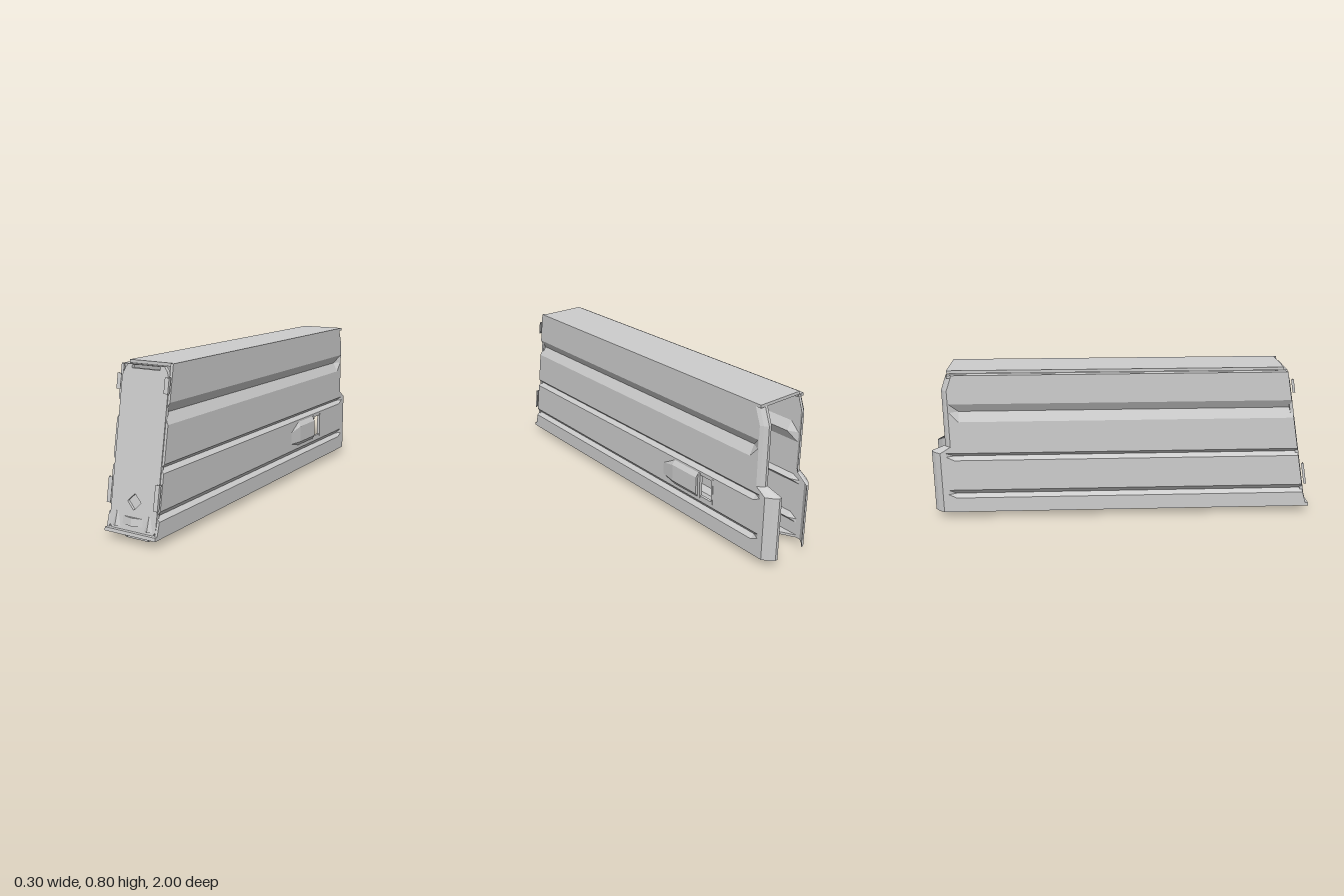
import * as THREE from 'three';

const C = -0.0075, HALF = 0.1425; // centre and half width of the shell
const grey = new THREE.MeshStandardMaterial({ color: 0xcccccc, flatShading: true, side: THREE.DoubleSide });
grey.name = 'light grey';

// Thick sheet from two point grids; skipped cells become holes with closed rims
function sheet(nu, nv, outer, inner, skip = () => false) {
  const pos = [];
  const has = (i, j) => i >= 0 && j >= 0 && i < nu && j < nv && !skip(i, j);
  const quad = (a, b, c, d) => pos.push(...a, ...b, ...c, ...a, ...c, ...d);
  for (let i = 0; i < nu; i++) for (let j = 0; j < nv; j++) {
    if (!has(i, j)) continue;
    const k = [[i, j], [i + 1, j], [i + 1, j + 1], [i, j + 1]];
    const o = k.map(p => outer(...p)), n = k.map(p => inner(...p));
    quad(...o);
    quad(n[3], n[2], n[1], n[0]);
    [[i, j - 1], [i + 1, j], [i, j + 1], [i - 1, j]].forEach((p, e) => {
      const f = (e + 1) % 4;
      if (!has(...p)) quad(o[f], o[e], n[e], n[f]);
    });
  }
  const g = new THREE.BufferGeometry();
  g.setAttribute('position', new THREE.Float32BufferAttribute(pos, 3));
  g.computeVertexNormals();
  return g;
}

const lerp = THREE.MathUtils.lerp;
const frontZ = y => 0.985 - 0.185 * y + (y < 0.05 ? 0.008 : 0);
const rearZ = y => y < 0.368 ? -1 : y < 0.705 ? -0.925 : lerp(-0.925, -0.89, (y - 0.7) / 0.097);

// Side wall: V grooves with pointed rear ends and a rear edge that bends inward
function sideWall(side) {
  const top = side > 0 ? 0.797 : 0.78;
  const ys = [0.035, 0.115, 0.135, 0.16, 0.19, 0.305, 0.325, 0.345, 0.365, 0.4, 0.535, 0.585, 0.63, 0.7, top];
  const depth = { 2: 0.02, 7: 0.02, 11: 0.026 };
  const point = (i, j, inset) => {
    const y = ys[j], r = rearZ(y), low = y < 0.368;
    const zs = [frontZ(y), -0.53, -0.61,
      ...(low ? [r + 0.12, r + 0.08, r + 0.05, r + 0.02, r] : [r + 0.08, r + 0.035, r + 0.03, r + 0.015, r])];
    const bend = i === 6 ? (low ? 0.022 : 0.01) : i === 7 ? (low ? 0.045 : 0.028) : 0;
    const groove = i < 4 ? depth[j] || 0 : 0;
    return [C + side * (HALF - bend - groove - inset), y, zs[i]];
  };
  return sheet(7, ys.length - 1, (i, j) => point(i, j, 0), (i, j) => point(i, j, 0.014),
    (i, j) => side > 0 && i === 1 && j === 4);
}

// Floor with a hollow raised keel; the keel stops short of the rear
function floor() {
  const xs = [-0.14, -0.07, -0.063, 0.063, 0.07, 0.14], ys = [0.035, 0.035, 0, 0, 0.035, 0.035];
  const point = (i, j, t) => {
    const keel = i === 2 || i === 3, edge = i === 0 || i === 5;
    const z = [keel ? 0.94 : 0.975, keel ? 0.93 : 0.96, -0.82, edge ? -0.95 : -0.82][j];
    return [C + xs[i] * (keel && t ? 0.88 : 1), ys[i] + t, z];
  };
  return sheet(5, 3, (i, j) => point(i, j, 0), (i, j) => point(i, j, 0.013));
}

function polygon(points, Type = THREE.Shape) {
  return new Type(points.map(p => new THREE.Vector2(...p)));
}

// Lean a geometry back so it follows the sloping front
function lean(g) {
  return g.applyMatrix4(new THREE.Matrix4().set(1, 0, 0, C, 0, 1, 0, 0, 0, -0.185, 1, 0.99, 0, 0, 0, 1));
}

function plate(depth, z, withDiamond) {
  const s = polygon([[-0.115, 0.05], [0.115, 0.05], [0.13, 0.07], [0.13, 0.73], [0.115, 0.765],
    [0.1, 0.782], [-0.1, 0.782], [-0.115, 0.765], [-0.13, 0.73], [-0.13, 0.07]]);
  s.holes.push(polygon([[-0.078, 0.764], [-0.078, 0.779], [0.078, 0.779], [0.078, 0.764]], THREE.Path));
  if (withDiamond) s.holes.push(polygon([[0, 0.145], [-0.038, 0.182], [0, 0.219], [0.038, 0.182]], THREE.Path));
  const g = new THREE.ExtrudeGeometry(s, { depth, bevelEnabled: false });
  return lean(g.translate(0, 0, z));
}

// Box given by its limits
function box(x0, x1, y0, y1, z0, z1) {
  return new THREE.BoxGeometry(x1 - x0, y1 - y0, z1 - z0)
    .translate((x0 + x1) / 2, (y0 + y1) / 2, (z0 + z1) / 2);
}

export function createModel() {
  const model = new THREE.Group();
  model.name = 'ribbedCase';
  const add = (name, geometry) => {
    const m = new THREE.Mesh(geometry, grey);
    m.name = name;
    model.add(m);
  };

  // Shell
  add('leftWall', sideWall(1));
  add('rightWall', sideWall(-1));
  add('floor', floor());
  add('topPlate', box(-0.115, 0.135, 0.782, 0.797, -0.895, 0.825));
  add('topStep', box(-0.149, -0.113, 0.766, 0.78, -0.89, 0.835));

  // Front plate with slot and sunken diamond
  add('frontPlate', plate(0.012, -0.012, true));
  add('frontBacking', plate(0.006, -0.018, false));
  add('frontSill', lean(box(-HALF, HALF, 0.036, 0.052, -0.03, 0.016)));

  for (const s of [-1, 1]) {
    // Tabs that wrap the front corners
    for (const [y0, y1] of [[0.165, 0.28], [0.67, 0.74]]) {
      const tab = polygon([[s * 0.12, -0.018], [s * HALF, -0.018], [s * HALF, -0.004],
        [s * 0.137, -0.016], [s * 0.12, -0.016]].reverse());
      const g = new THREE.ExtrudeGeometry(tab, { depth: y1 - y0, bevelEnabled: false });
      add('cornerTab', lean(g.rotateX(-Math.PI / 2).translate(0, y0, 0)));
    }
    // Small ridged wedges
    const wedge = new THREE.CylinderGeometry(0.006, 0.023, 0.065, 4);
    add('frontWedge', lean(wedge.scale(1, 1, 0.5).translate(s * 0.09, 0.097, 0)));
  }
  // Low peaked bar between the wedges
  const bar = polygon([[-0.056, 0], [0, -0.012], [0.056, 0]]);
  const barGeometry = new THREE.ExtrudeGeometry(bar, { depth: 0.036, bevelEnabled: false });
  add('frontBar', lean(barGeometry.rotateX(-Math.PI / 2).translate(0, 0.078, 0)));

  // Raised catch on the left wall, tapering forward, with a window behind it
  const zs = [-0.25, -0.34, -0.515], low = [0.2, 0.178, 0.178], high = [0.288, 0.315, 0.315];
  const catchPoint = (i, j) => [
    j === 0 || j === 3 || i === 0 ? 0.134 : 0.15,
    [low[i], low[i] + 0.022, high[i] - 0.025, high[i]][j], zs[i]];
  add('catch', sheet(2, 3, catchPoint, (i, j) => [0.128, catchPoint(i, j)[1], zs[i]]));
  add('windowFrame', box(0.124, 0.138, 0.178, 0.315, -0.53, -0.515));
  add('windowFrame', box(0.124, 0.137, 0.178, 0.315, -0.62, -0.61));

  return model;
}
